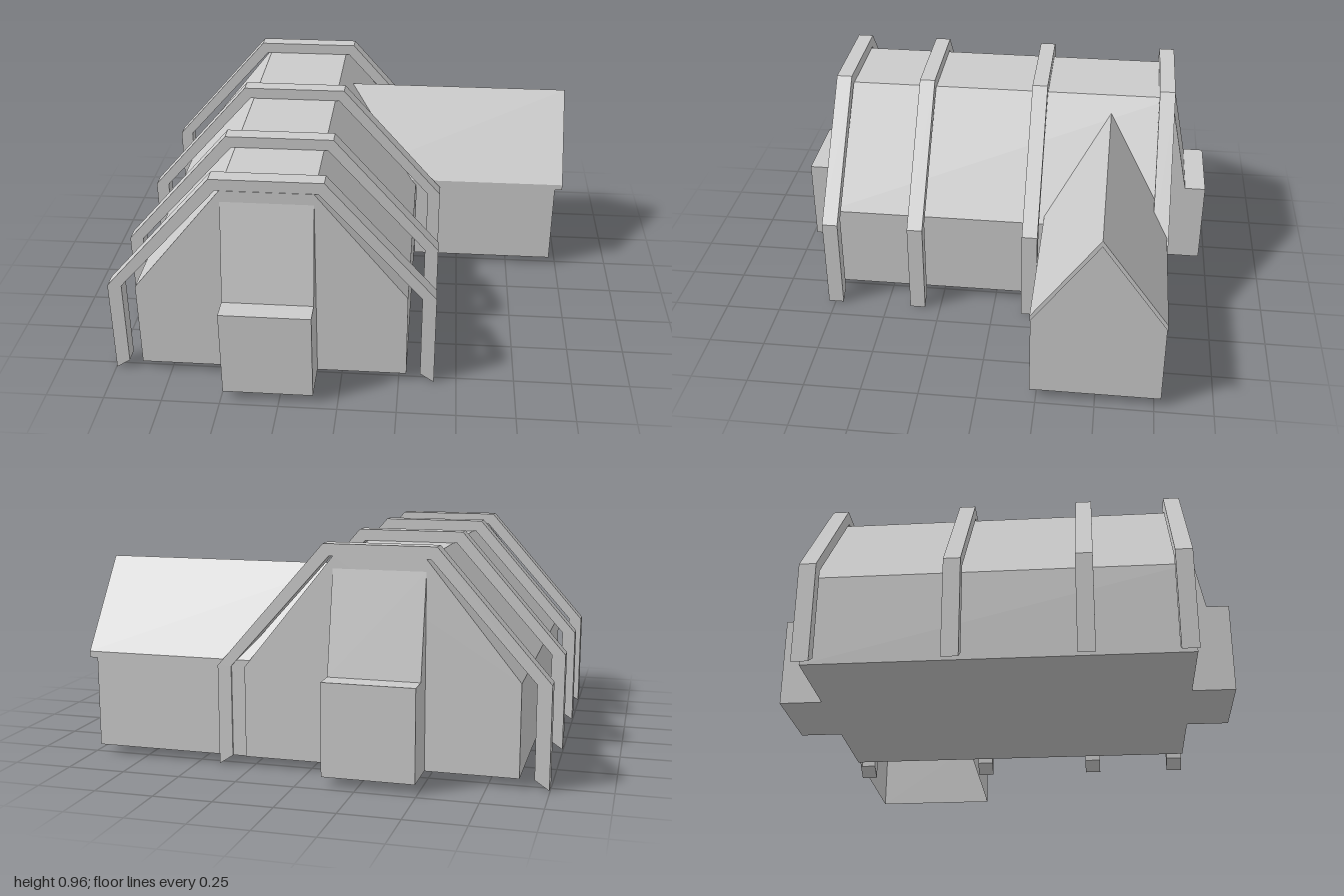
import * as THREE from 'three';

const material = new THREE.MeshStandardMaterial({ color: 0xcccccc, flatShading: true, side: THREE.DoubleSide });
const HALL_X = -0.297, HALL_END = 0.785, BASE = 0.04, EAVE = 0.43;

function mesh(name, geometry) {
  const m = new THREE.Mesh(geometry, material);
  m.name = name;
  return m;
}

const outline = pts => new THREE.Shape(pts.map(p => new THREE.Vector2(...p)));

// Mirrors a half outline (right side, listed bottom to top) across x = 0
const mirrored = half => [...half, ...half.map(([x, y]) => [-x, y]).reverse()];

// Extrudes an outline, centred on its depth
function prism(pts, depth) {
  return new THREE.ExtrudeGeometry(outline(pts), { depth, bevelEnabled: false }).translate(0, 0, -depth / 2);
}

export function createModel() {
  const group = new THREE.Group();

  // Main hall with flat-topped pitched roof
  const hall = mesh('hall', prism(mirrored([[0.58, BASE], [0.58, EAVE], [0.193, 0.91]]), HALL_END * 2));
  hall.position.x = HALL_X;
  group.add(hall);

  // Four arched frames standing clear of the walls
  const outer = mirrored([[0.7, 0], [0.7, EAVE], [0.235, 0.96]]);
  const inner = mirrored([[0.64, BASE], [0.64, EAVE], [0.21, 0.91]]).reverse();
  for (const z of [-0.75, -0.168, 0.356, 0.748]) {
    const frame = mesh('archFrame', prism([...outer, ...inner], 0.07));
    frame.position.set(HALL_X, 0, z);
    group.add(frame);
  }

  // Stepped porch with sloping hood at each end
  const porchSide = [[HALL_END, BASE], [0.967, BASE], [0.967, EAVE], [0.872, EAVE], [HALL_END, 0.86]];
  for (const [name, turn] of [['frontPorch', -1], ['backPorch', 1]]) {
    const porch = mesh(name, prism(porchSide, 0.386).rotateY(turn * Math.PI / 2));
    porch.position.x = HALL_X;
    group.add(porch);
  }

  // Side wing: thin walls, open underneath
  const wing = new THREE.Group();
  wing.name = 'sideWing';
  wing.position.z = -0.5;
  const x0 = 0.285, x1 = 0.965, half = 0.278;
  for (const side of [-1, 1]) {
    const wall = mesh('wingSideWall', new THREE.PlaneGeometry(x1 - x0, EAVE - BASE));
    wall.position.set((x0 + x1) / 2, (BASE + EAVE) / 2, side * half);
    if (side < 0) wall.rotation.y = Math.PI;
    wing.add(wall);
  }
  const gable = mesh('wingGableWall', new THREE.ShapeGeometry(
    outline(mirrored([[half, BASE], [half, EAVE], [0, 0.81]]))));
  gable.rotation.y = Math.PI / 2;
  gable.position.x = x1;
  wing.add(gable);

  // Wing roof slab, running into the hall roof
  const roof = mesh('wingRoof', prism(
    [[half, EAVE], [half, 0.457], [0, 0.843], [-half, 0.457], [-half, EAVE], [0, 0.815]], 1.08));
  roof.rotation.y = Math.PI / 2;
  roof.position.x = 0.46;
  wing.add(roof);
  group.add(wing);

  return group;
}
